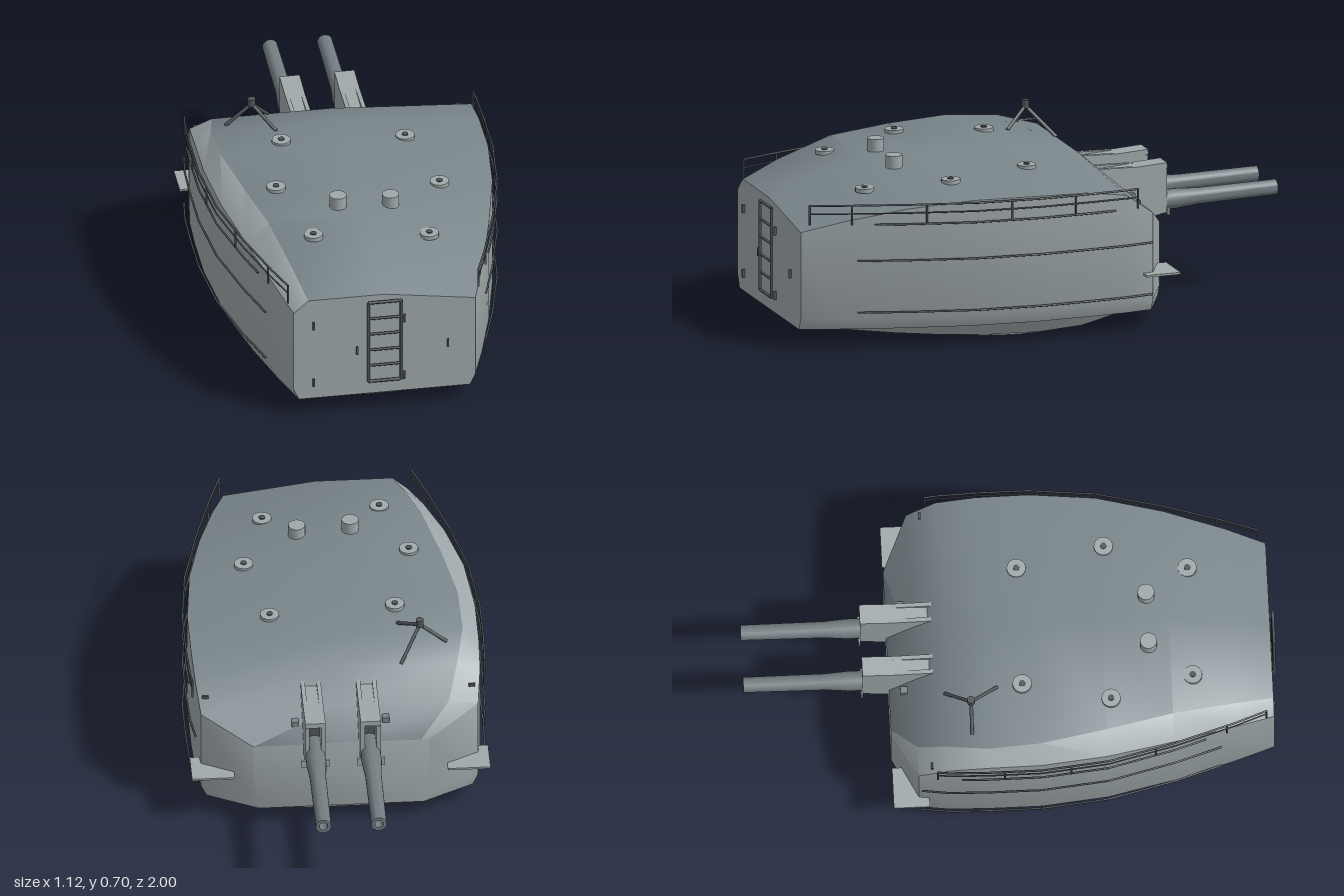
import * as THREE from 'three';
import { toCreasedNormals } from 'three/addons/utils/BufferGeometryUtils.js';

const paint = color => new THREE.MeshStandardMaterial({ color, side: THREE.DoubleSide });
const wallGrey = paint(0x9fa8aa);
const roofGrey = paint(0x7a868b);
const barrelGrey = paint(0x727c80);
const darkGrey = paint(0x50565a);
const V = (x, y, z) => new THREE.Vector3(x, y, z);

// Hull stations: z, half width, wall top, roof edge on the right side, roof height
const stations = [
  [0.98, 0.345, 0.45, 0.29, 0.50], [0.83, 0.395, 0.49, 0.325, 0.555],
  [0.6, 0.46, 0.535, 0.375, 0.615], [0.35, 0.515, 0.56, 0.43, 0.625],
  [0.1, 0.54, 0.56, 0.475, 0.625], [-0.1, 0.54, 0.555, 0.48, 0.605],
  [-0.25, 0.535, 0.53, 0.45, 0.565], [-0.36, 0.52, 0.45, 0.41, 0.465],
  [-0.455, 0.33, 0.36, 0.3, 0.362],
];

// Interpolated station at any z
function at(z) {
  let i = 0;
  while (i < stations.length - 2 && z < stations[i + 1][0]) i++;
  const a = stations[i], b = stations[i + 1];
  const t = THREE.MathUtils.clamp((a[0] - z) / (a[0] - b[0]), 0, 1);
  return a.map((v, k) => v + (b[k] - v) * t);
}

function roofY(x, z) {
  const [, w, yw, wr, yr] = at(z);
  if (x > 0) return yr + (yw - yr) * x / w;
  return -x < wr ? yr : yr + (yw - yr) * (-x - wr) / (w - wr);
}

function mesh(parent, name, material, geo, x = 0, y = 0, z = 0) {
  const m = new THREE.Mesh(geo, material);
  m.name = name;
  m.position.set(x, y, z);
  parent.add(m);
  return m;
}

function rod(parent, name, a, b, r) {
  const m = mesh(parent, name, darkGrey, new THREE.CylinderGeometry(r, r, a.distanceTo(b), 6));
  m.position.copy(a).add(b).multiplyScalar(0.5);
  m.quaternion.setFromUnitVectors(V(0, 1, 0), b.clone().sub(a).normalize());
}

// Skin rings of points strip by strip, with a cap at each end
function loft(rings, crease) {
  const n = rings[0].length, idx = [];
  for (let j = 0; j < n; j++) {
    for (let i = 0; i < rings.length - 1; i++) {
      const a = i * n + j, b = i * n + (j + 1) % n;
      idx.push(a, a + n, b, b, a + n, b + n);
    }
  }
  const last = (rings.length - 1) * n;
  for (let j = 1; j < n - 1; j++) idx.push(0, j, j + 1, last, last + j + 1, last + j);
  const g = new THREE.BufferGeometry().setFromPoints(rings.flat());
  g.setIndex(idx);
  return toCreasedNormals(g, crease);
}

// Part of a non-indexed geometry, by vertex range
function slice(geo, from, to) {
  const g = new THREE.BufferGeometry();
  for (const k of ['position', 'normal']) {
    g.setAttribute(k, new THREE.BufferAttribute(geo.attributes[k].array.slice(from * 3, to * 3), 3));
  }
  return g;
}

function buildHull(group) {
  const shell = loft(stations.map(([z, w, yw, wr, yr]) => [
    V(w, yw, z), V(0, yr, z), V(-wr, yr, z), V(-w, yw, z), V(-w, 0.115, z),
    V(-w + 0.02, 0.07, z), V(w - 0.02, 0.07, z), V(w, 0.115, z),
  ]), 0.77);
  // The first two strips are the roof
  const split = 2 * 6 * (stations.length - 1);
  mesh(group, 'roof', roofGrey, slice(shell, 0, split));
  mesh(group, 'walls', wallGrey, slice(shell, split, shell.attributes.position.count));

  // Egg-shaped skirt under the hull and the turning ring
  const half = [[0.06, 0.94], [0.2, 0.76], [0.31, 0.61], [0.4, 0.45], [0.47, 0.26], [0.5, 0.06],
    [0.46, -0.14], [0.34, -0.32], [0.15, -0.43]];
  const outline = [...half, ...half.map(([x, z]) => [-x, z]).reverse()];
  const ring = (s, y) => outline.map(([x, z]) => V(x * s, y, 0.22 + (z - 0.22) * (s + 0.03)));
  mesh(group, 'skirt', wallGrey, loft([ring(0.9, 0.01), ring(0.98, 0.075)], 0.3));
  mesh(group, 'turningRing', wallGrey, new THREE.CylinderGeometry(0.42, 0.42, 0.012, 48), 0, 0.006, 0.12);
}

// Gun with its open-fronted housing
function buildGun(group, x) {
  const gun = new THREE.Group();
  gun.name = 'gun';
  gun.position.x = x;
  group.add(gun);

  const cheek = new THREE.Shape([[0.28, 0.53], [0.45, 0.525], [0.553, 0.51], [0.553, 0.34],
    [0.45, 0.32], [0.28, 0.36]].map(p => new THREE.Vector2(...p)));
  const cheekGeo = new THREE.ExtrudeGeometry(cheek, { depth: 0.016, bevelEnabled: false });
  cheekGeo.rotateY(Math.PI / 2);
  for (const s of [-1, 1]) mesh(gun, 'housingCheek', wallGrey, cheekGeo, s * 0.03 - 0.008);
  const top = mesh(gun, 'housingTop', wallGrey, new THREE.BoxGeometry(0.076, 0.02, 0.275), 0, 0.514, -0.417);
  top.rotation.x = 0.06;
  mesh(gun, 'housingBack', darkGrey, new THREE.BoxGeometry(0.05, 0.17, 0.02), 0, 0.42, -0.46);
  const floor = mesh(gun, 'housingFloor', wallGrey, new THREE.BoxGeometry(0.07, 0.012, 0.11), 0, 0.335, -0.5);
  floor.rotation.x = 0.19;
  mesh(gun, 'frontLip', wallGrey, new THREE.BoxGeometry(0.105, 0.03, 0.008), 0, 0.348, -0.556);

  // Tapered barrel with a bored muzzle
  const profile = [[0, 0], [0.036, 0], [0.038, 0.15], [0.031, 0.24], [0.029, 0.55],
    [0.016, 0.55], [0.015, 0.46], [0, 0.46]].map(p => new THREE.Vector2(...p));
  const barrel = mesh(gun, 'barrel', barrelGrey,
    toCreasedNormals(new THREE.LatheGeometry(profile, 20), 0.5), 0, 0.377, -0.45);
  barrel.rotation.x = -Math.PI / 2 + 0.022;
}

function buildRoofFittings(group) {
  const place = (name, material, geo, x, z, up) => mesh(group, name, material, geo, x, roofY(x, z) + up, z);
  for (const s of [-1, 1]) {
    for (const [x, z] of [[0.235, 0.04], [0.31, 0.37], [0.22, 0.68]]) {
      place('roofCap', wallGrey, new THREE.CylinderGeometry(0.036, 0.036, 0.016, 16), s * x, z, 0.004);
      place('roofCapKnob', darkGrey, new THREE.CylinderGeometry(0.012, 0.012, 0.008, 10), s * x, z, 0.012);
    }
    place('ventPipe', wallGrey, new THREE.CylinderGeometry(0.032, 0.032, 0.06, 16), s * 0.1, 0.52, 0.018);
    place('frontSight', roofGrey, new THREE.BoxGeometry(0.026, 0.022, 0.026), s * 0.17, -0.4, 0.006);
    place('cornerSight', darkGrey, new THREE.BoxGeometry(0.024, 0.012, 0.008), s * 0.5, -0.31, 0.006);
  }
  // Tripod mast
  const apex = V(-0.315, 0.675, -0.155);
  for (const [x, z] of [[-0.415, -0.155], [-0.238, -0.25], [-0.238, -0.055]]) {
    rod(group, 'tripodLeg', apex, V(x, roofY(x, z), z), 0.007);
  }
  mesh(group, 'tripodHead', darkGrey, new THREE.CylinderGeometry(0.015, 0.015, 0.03, 10), apex.x, 0.683, apex.z);
}

// Railing, grab rails and corner platform of one side
function buildSide(group, s) {
  const railX = z => s * (at(z)[1] + 0.006 + 0.012 * THREE.MathUtils.clamp((0.95 - z) / 0.6, 0, 1));
  const rail = (name, z0, z1, y, r) => {
    const zs = [z0, ...stations.map(p => p[0]).filter(z => z < z0 && z > z1), z1];
    const p = zs.map(z => V(railX(z), y, z));
    for (let i = 1; i < p.length; i++) rod(group, name, p[i - 1], p[i], r);
  };
  rail('railingTop', 0.95, -0.29, 0.555, 0.004);
  rail('railingMiddle', 0.95, -0.29, 0.523, 0.003);
  rail('railingFoot', 0.72, -0.2, 0.48, 0.004);
  for (const z of [0.95, 0.8, 0.53, 0.21, -0.04, -0.29]) {
    rod(group, 'railingPost', V(railX(z), 0.48, z), V(railX(z), 0.557, z), 0.004);
  }
  for (const y of [0.34, 0.14]) rail('grabRail', 0.78, -0.35, y, 0.004);
  mesh(group, 'cornerPlatform', wallGrey, new THREE.BoxGeometry(0.16, 0.008, 0.135), s * 0.48, 0.216, -0.388);
}

function buildRearFittings(group) {
  const z = 0.993;
  const corners = [V(-0.063, 0.13, z), V(0.061, 0.13, z), V(0.061, 0.475, z), V(-0.063, 0.475, z)];
  corners.forEach((c, i) => rod(group, 'ladderFrame', c, corners[(i + 1) % 4], 0.006));
  for (const y of [0.2, 0.268, 0.337, 0.405]) rod(group, 'ladderRung', V(-0.063, y, z), V(0.061, y, z), 0.005);
  for (const [x, y] of [[-0.27, 0.39], [-0.27, 0.14], [-0.105, 0.265], [0.075, 0.39], [0.075, 0.14], [0.24, 0.265]]) {
    mesh(group, 'rearGrip', darkGrey, new THREE.BoxGeometry(0.007, 0.032, 0.012), x, y, 0.984);
  }
}

export function createModel() {
  const group = new THREE.Group();
  group.name = 'gunTurret';
  buildHull(group);
  buildRoofFittings(group);
  buildRearFittings(group);
  for (const s of [-1, 1]) {
    buildGun(group, s * 0.104);
    buildSide(group, s);
  }
  return group;
}
